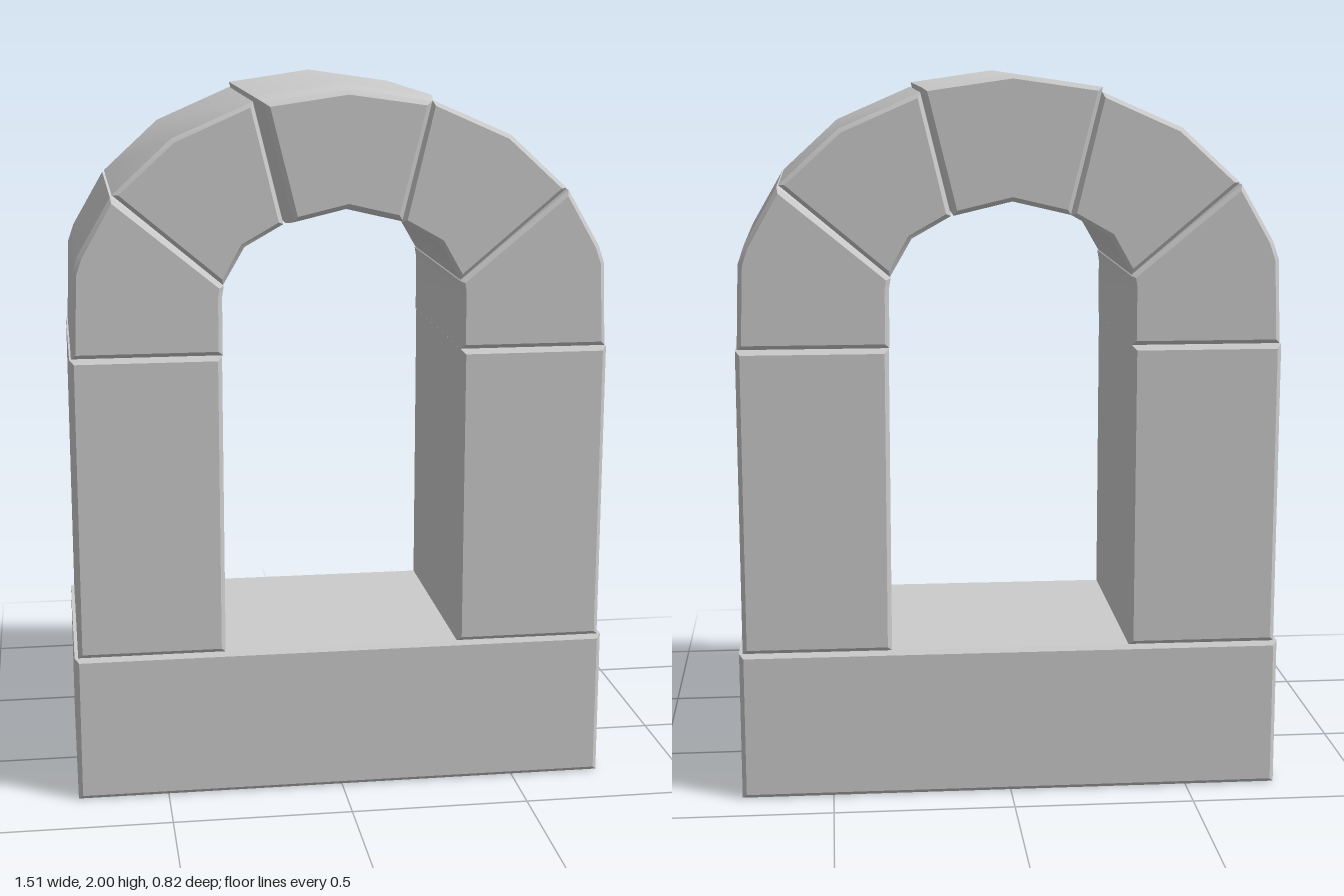
import * as THREE from 'three';
import { toCreasedNormals } from 'three/addons/utils/BufferGeometryUtils.js';

const BACK = -0.38, FRONT = 0.315, BEVEL = 0.012;

// A bevelled stone: a front outline pulled from z = back to z = front
function stoneGeometry(points, back = BACK, front = FRONT, steps = 1) {
  const shape = new THREE.Shape(points.map(([x, y]) => new THREE.Vector2(x, y)));
  const geometry = new THREE.ExtrudeGeometry(shape, {
    depth: front - back - 2 * BEVEL, steps,
    bevelEnabled: true, bevelSegments: 1,
    bevelThickness: BEVEL, bevelSize: BEVEL, bevelOffset: -BEVEL,
  });
  return geometry.translate(0, 0, back + BEVEL);
}

const rect = (x0, y0, x1, y1) => [[x0, y0], [x1, y0], [x1, y1], [x0, y1]];
const mirror = (points) => points.map(([x, y]) => [-x, y]).reverse();

export function createModel() {
  const model = new THREE.Group();
  model.name = 'stoneArch';
  const material = new THREE.MeshStandardMaterial({ color: 0xcccccc });

  const add = (name, geometry) => {
    const mesh = new THREE.Mesh(toCreasedNormals(geometry, 0.6), material);
    mesh.name = name;
    model.add(mesh);
  };

  // Base slab
  add('base', stoneGeometry(rect(-0.755, 0.005, 0.755, 0.42)
    .map(([x, y]) => [x, y < 0.1 ? 0 : y])));

  // Paired stones, outlined on the +x side
  const sideStones = {
    Pillar: rect(0.332, 0.42, 0.745, 1.268),
    Springer: [[0.33, 1.27], [0.74, 1.27], [0.732, 1.5], [0.715, 1.55],
      [0.625, 1.705], [0.325, 1.46], [0.33, 1.43]],
    Voussoir: [[0.327, 1.463], [0.62, 1.71], [0.46, 1.857], [0.242, 1.952],
      [0.162, 1.625], [0.268, 1.565]],
  };
  for (const [name, outline] of Object.entries(sideStones)) {
    add('left' + name, stoneGeometry(outline));
    add('right' + name, stoneGeometry(mirror(outline)));
  }

  // Keystone, deeper than the rest, its projecting front softly tapered
  const keystone = stoneGeometry([[0, 1.665], [0.157, 1.628], [0.24, 1.965],
    [0, 2], [-0.24, 1.965], [-0.157, 1.628]], -0.41, 0.41, 24);
  const position = keystone.attributes.position;
  for (let i = 0; i < position.count; i++) {
    const t = Math.max(0, (position.getZ(i) - 0.3) / 0.11);
    const scale = 1 - 0.08 * t ** 1.3;
    position.setXY(i, position.getX(i) * scale, 1.82 + (position.getY(i) - 1.82) * scale);
  }
  add('keystone', keystone);

  return model;
}
